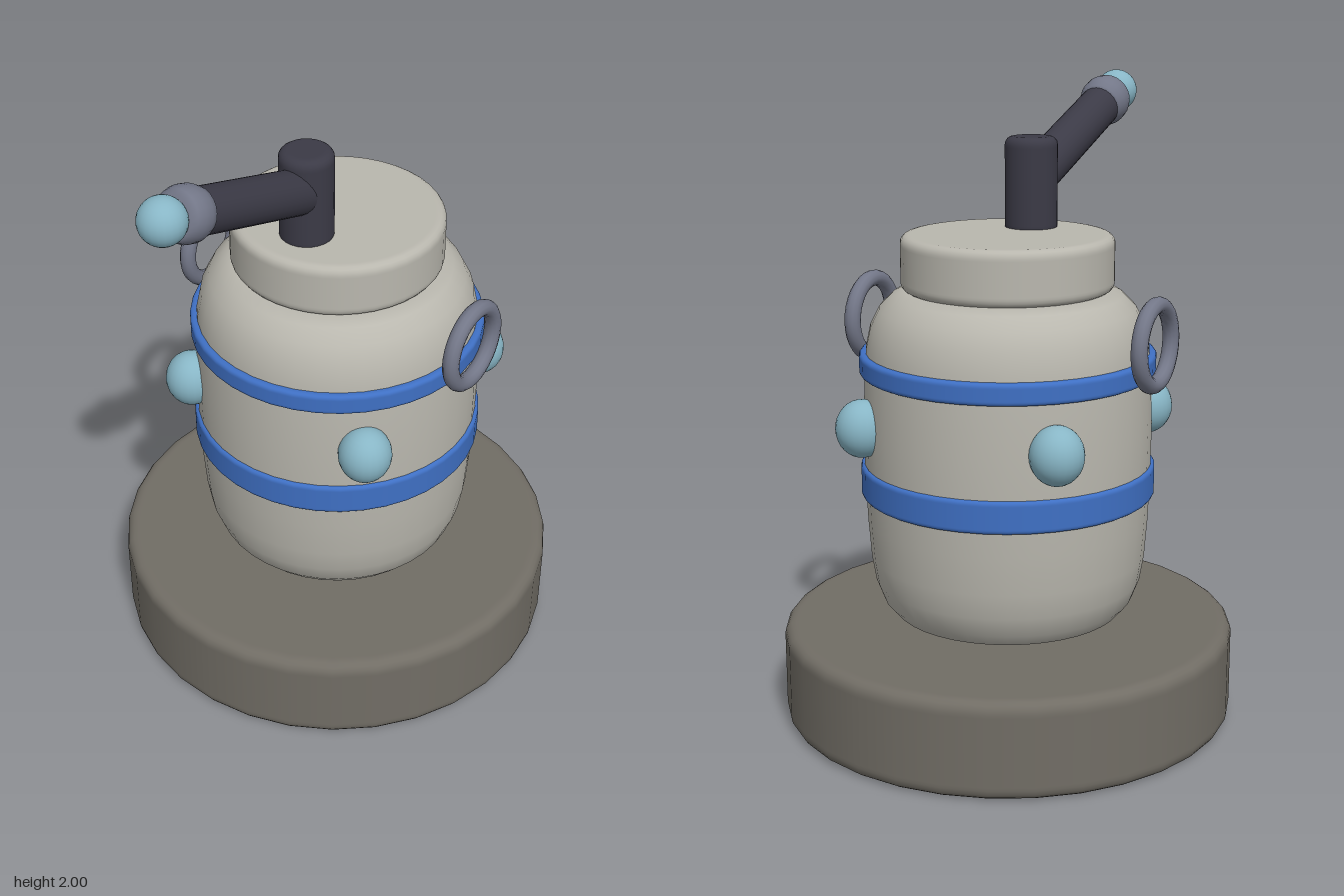
import * as THREE from 'three';

const mat = (color) => new THREE.MeshStandardMaterial({ color });
const stone = mat(0x716d65), shell = mat(0xb9b7ae), blue = mat(0x3f70c4);
const dark = mat(0x3b3a46), steel = mat(0x737788), pale = mat(0x88b6c6);

// Closed turned part from [radius, y] points listed bottom to top
function turned(points, segments = 32) {
  return new THREE.LatheGeometry(points.map(([r, y]) => new THREE.Vector2(r, y)), segments);
}

// Cylinder with rounded rims; extra points keep the caps and wall flat
function roundedDrum(r, y0, y1, b, segments = 32) {
  const pts = [[0, y0], [r - b * 1.3, y0]];
  for (let i = 0; i <= 4; i++) {
    const a = (i / 4) * Math.PI / 2;
    pts.push([r - b + b * Math.sin(a), y0 + b - b * Math.cos(a)]);
  }
  pts.push([r, y0 + b * 1.3], [r, y1 - b * 1.3]);
  for (let i = 0; i <= 4; i++) {
    const a = (i / 4) * Math.PI / 2;
    pts.push([r - b + b * Math.cos(a), y1 - b + b * Math.sin(a)]);
  }
  pts.push([r - b * 1.3, y1], [0, y1]);
  return turned(pts, segments);
}

export function createModel() {
  const model = new THREE.Group();
  const add = (parent, name, geometry, material, x = 0, y = 0, z = 0) => {
    const mesh = new THREE.Mesh(geometry, material);
    mesh.name = name;
    mesh.position.set(x, y, z);
    parent.add(mesh);
    return mesh;
  };

  // Canister sits on an axis slightly behind the origin
  const canister = new THREE.Group();
  canister.name = 'canister';
  canister.position.z = -0.08;
  model.add(canister);

  add(canister, 'base', roundedDrum(0.72, 0, 0.308, 0.035), stone);

  add(canister, 'body', turned([
    [0, 0.322], [0.28, 0.323], [0.32, 0.328], [0.365, 0.345], [0.4, 0.385], [0.425, 0.45],
    [0.438, 0.53], [0.447, 0.65], [0.453, 0.8], [0.455, 0.95], [0.45, 1.1], [0.443, 1.2],
    [0.428, 1.27], [0.4, 1.325], [0.36, 1.365], [0.32, 1.382], [0, 1.385],
  ], 40), shell);

  add(canister, 'lid', roundedDrum(0.332, 1.38, 1.552, 0.025, 40), shell);

  // Blue hoops around the body
  add(canister, 'lowerBand', roundedDrum(0.465, 0.73, 0.832, 0.012, 40), blue);
  add(canister, 'upperBand', roundedDrum(0.465, 1.12, 1.188, 0.012, 40), blue);

  // Studs on the diagonals
  for (const sx of [-1, 1]) for (const sz of [-1, 1]) {
    const stud = add(canister, 'stud', new THREE.SphereGeometry(0.083, 24, 16), pale,
      sx * 0.333, 0.97, sz * 0.333);
    stud.scale.y = 1.1;
  }

  // Side rings
  for (const side of [-1, 1]) {
    const ring = add(canister, side > 0 ? 'leftRing' : 'rightRing',
      new THREE.TorusGeometry(0.122, 0.026, 12, 32), steel, side * 0.496, 1.248, 0.005);
    ring.rotation.y = Math.PI / 2;
  }

  // Post on the lid
  add(model, 'post', roundedDrum(0.083, 1.53, 1.835, 0.025, 24), dark, 0, 0, 0.082);

  // Crank: arm, collar and knob along one sloping axis
  const crank = new THREE.Group();
  crank.name = 'crank';
  crank.position.set(0, 1.698, 0.082);
  crank.rotation.x = Math.PI / 2 - 0.355;
  model.add(crank);
  add(crank, 'arm', new THREE.CylinderGeometry(0.068, 0.07, 0.58, 24), dark, 0, 0.29, 0);
  add(crank, 'collar', turned([
    [0, 0.532], [0.06, 0.532], [0.074, 0.548], [0.082, 0.575], [0.082, 0.605],
    [0.074, 0.632], [0.06, 0.648], [0, 0.648],
  ], 24), steel);
  add(model, 'knob', new THREE.SphereGeometry(0.07, 24, 16), pale, 0, 1.93, 0.73);

  return model;
}
